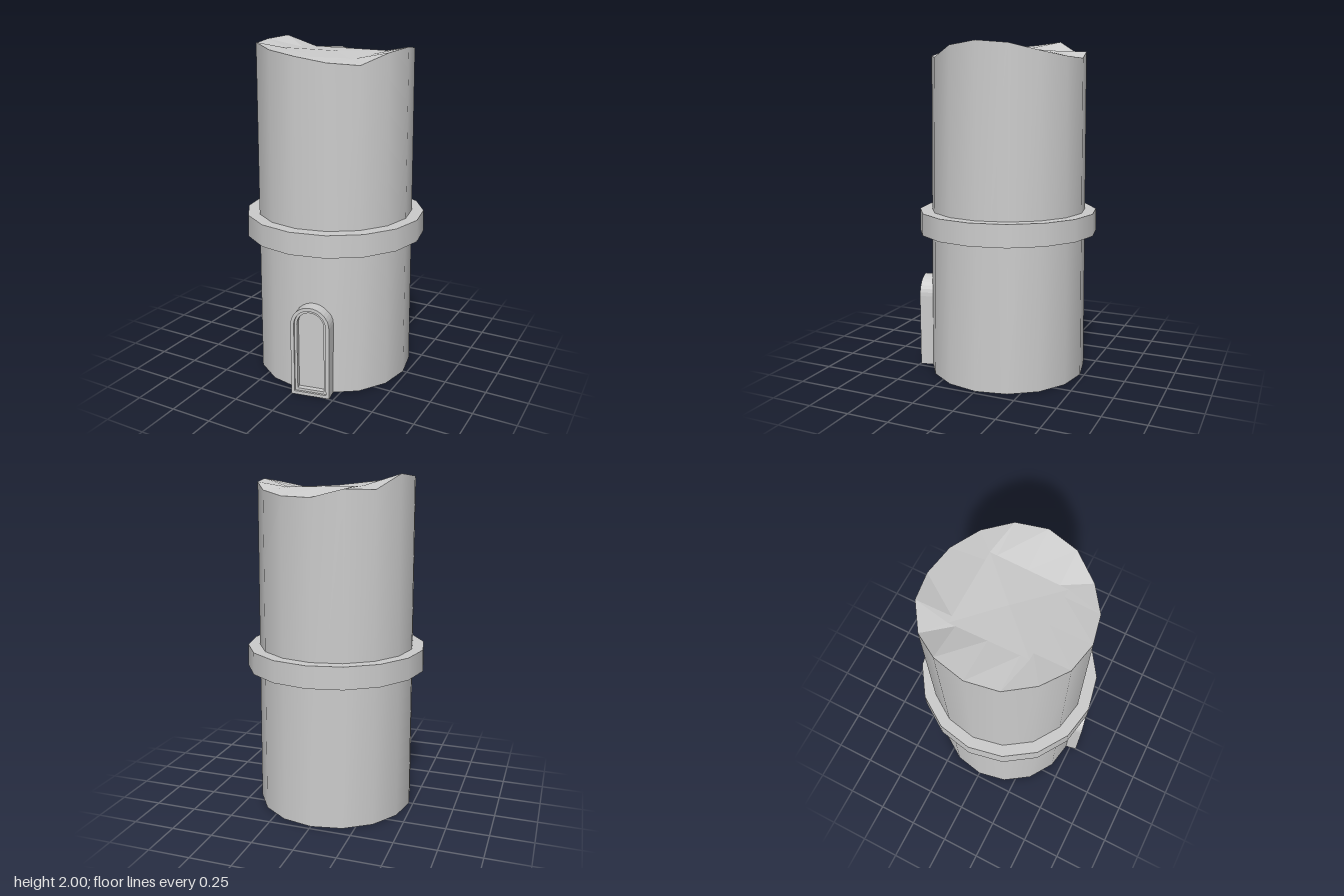
import * as THREE from 'three';

const SIDES = 16;
// Broken rim heights, counter-clockwise from the front (+z) through +x
const RIM = [1.93, 1.9, 1.885, 1.945, 1.965, 1.95, 1.91, 1.885,
  1.88, 1.925, 1.92, 2.0, 1.985, 1.97, 1.985, 1.955];
const TOP = { x: -0.005, z: -0.004, r: 0.457 };

function rimPoint(i) {
  const k = i % SIDES, a = (k / SIDES) * Math.PI * 2;
  return new THREE.Vector3(TOP.x + Math.sin(a) * TOP.r, RIM[k], TOP.z + Math.cos(a) * TOP.r);
}

// Tapered wall whose top edge follows the broken rim
function wallGeometry() {
  const geo = new THREE.CylinderGeometry(TOP.r, 0.475, 2, SIDES, 1, true);
  const pos = geo.attributes.position;
  for (let i = 0; i < pos.count; i++) {
    if (pos.getY(i) > 0) {
      const p = rimPoint(i);
      pos.setXYZ(i, p.x, p.y, p.z);
    } else pos.setY(i, 0);
  }
  geo.computeVertexNormals();
  // Smooth the normals across the seam
  const n = geo.attributes.normal;
  for (const row of [0, SIDES + 1]) {
    const a = new THREE.Vector3().fromBufferAttribute(n, row);
    a.add(new THREE.Vector3().fromBufferAttribute(n, row + SIDES)).normalize();
    n.setXYZ(row, a.x, a.y, a.z);
    n.setXYZ(row + SIDES, a.x, a.y, a.z);
  }
  return geo;
}

// Uneven top: facets from the rim to an inner square, then to the middle
function capGeometry() {
  const S = 0.22, verts = [];
  const height = (x, z) => {
    const u = (x + S) / (2 * S), v = (z + S) / (2 * S);
    return THREE.MathUtils.lerp(
      THREE.MathUtils.lerp(1.935, 1.925, u),
      THREE.MathUtils.lerp(1.955, 1.905, u), v);
  };
  const inner = (p) => {
    const x = THREE.MathUtils.clamp(p.x, -S, S), z = THREE.MathUtils.clamp(p.z, -S, S);
    return new THREE.Vector3(x, height(x, z), z);
  };
  const centre = new THREE.Vector3(0, height(0, 0), 0);
  const tri = (...ps) => ps.forEach((p) => verts.push(p.x, p.y, p.z));
  for (let i = 0; i < SIDES; i++) {
    const a = rimPoint(i), b = rimPoint(i + 1), c = inner(a), d = inner(b);
    tri(a, b, d);
    tri(a, d, c);
    tri(c, d, centre);
  }
  const geo = new THREE.BufferGeometry();
  geo.setAttribute('position', new THREE.Float32BufferAttribute(verts, 3));
  geo.computeVertexNormals();
  return geo;
}

// Round-headed outline, shrunk evenly by an inset
function arch(path, inset) {
  const r = 0.115 - inset, spring = 0.44;
  path.moveTo(-r, inset);
  path.lineTo(r, inset);
  path.lineTo(r, spring);
  path.absarc(0, spring, r, 0, Math.PI, false);
  path.lineTo(-r, inset);
  return path;
}

function archSolid(outer, hole, depth) {
  const shape = arch(new THREE.Shape(), outer);
  if (hole) shape.holes.push(arch(new THREE.Path(), hole));
  return new THREE.ExtrudeGeometry(shape, { depth, bevelEnabled: false, curveSegments: 8 });
}

export function createModel() {
  const model = new THREE.Group();
  model.name = 'ruinedTower';
  const grey = new THREE.MeshStandardMaterial({ color: 0xcccccc });
  const faceted = new THREE.MeshStandardMaterial({ color: 0xcccccc, flatShading: true });
  const add = (parent, name, geo, mat = grey) => {
    const mesh = new THREE.Mesh(geo, mat);
    mesh.name = name;
    parent.add(mesh);
    return mesh;
  };

  // Tower body
  add(model, 'towerWall', wallGeometry());
  add(model, 'brokenTop', capGeometry(), faceted);
  const base = add(model, 'towerBase', new THREE.CircleGeometry(0.475, SIDES));
  base.rotation.x = Math.PI / 2;

  // Band around the middle
  const band = add(model, 'stoneBand', new THREE.CylinderGeometry(0.535, 0.538, 0.13, SIDES));
  band.position.y = 0.925;

  // Doorway, square to the wall facet just left of the front
  const door = new THREE.Group();
  door.name = 'doorway';
  const turn = Math.PI / SIDES;
  const back = 0.405;
  door.rotation.y = turn;
  door.position.set(
    Math.sin(turn) * back + 0.009 * Math.cos(turn), 0,
    Math.cos(turn) * back - 0.009 * Math.sin(turn));
  add(door, 'doorFrame', archSolid(0, 0.02, 0.127));
  add(door, 'doorFrameStep', archSolid(0.02, 0.035, 0.115));
  add(door, 'doorPanel', archSolid(0.035, 0, 0.085));
  model.add(door);

  return model;
}
